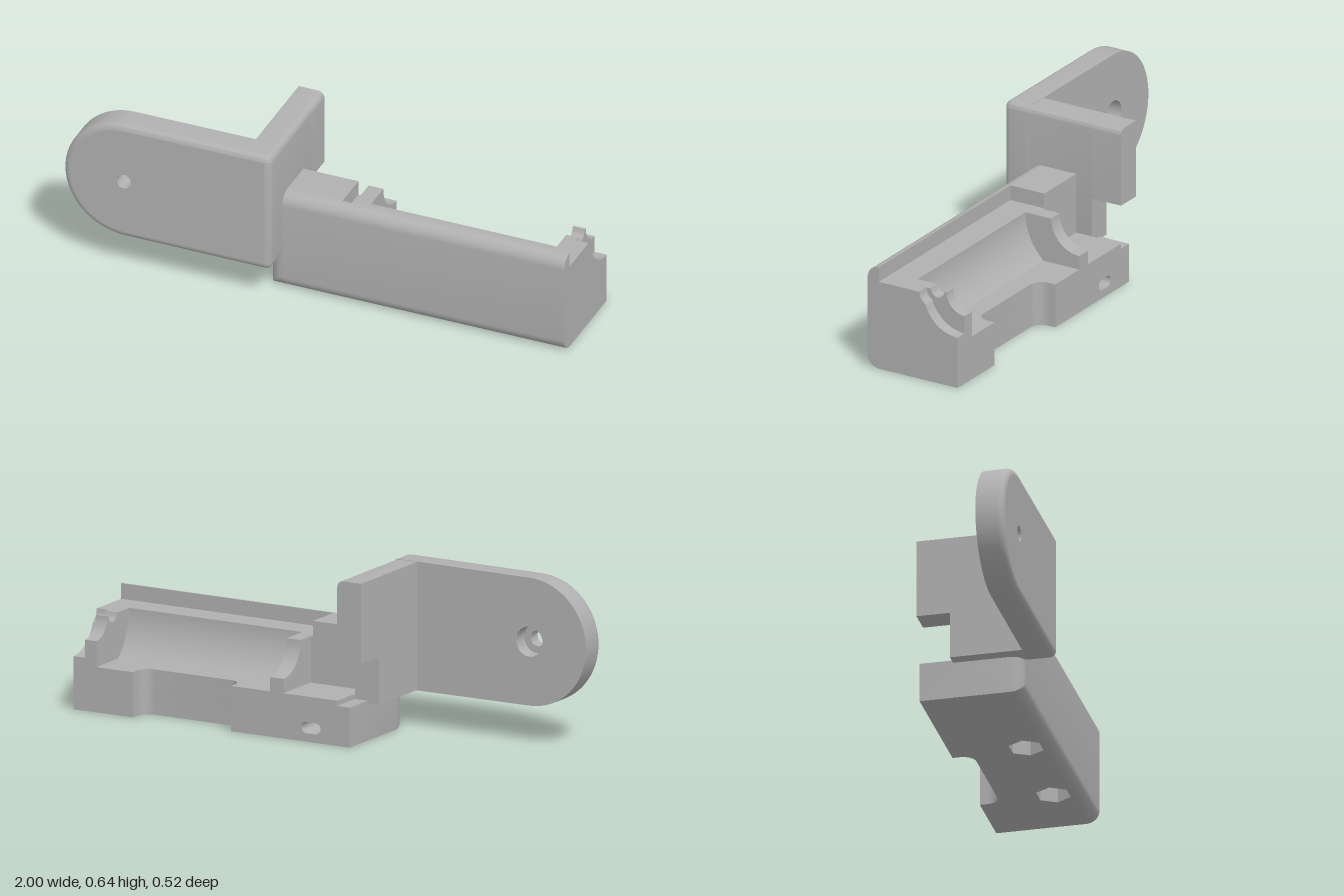
import * as THREE from 'three';
import { toCreasedNormals } from 'three/addons/utils/BufferGeometryUtils.js';

const FLOOR = 0.175; // pocket and trough floor
const TOP = 0.355;   // mating surface
const RIDGE = 0.415; // top of the front rail

export function createModel() {
  const model = new THREE.Group();
  const grey = new THREE.MeshStandardMaterial({ color: 0xb0b0b0 });
  grey.name = 'grey plastic';

  function add(name, geometry) {
    const mesh = new THREE.Mesh(toCreasedNormals(geometry, 0.6), grey);
    mesh.name = name;
    model.add(mesh);
    return mesh;
  }
  const toShape = pts => new THREE.Shape(pts.map(p => new THREE.Vector2(p[0], p[1])));
  const extrude = (shape, depth, steps = 1) =>
    new THREE.ExtrudeGeometry(shape, { depth, steps, bevelEnabled: false, curveSegments: 16 });

  // Section in (-z, y), swept along x
  const alongX = (pts, x0, x1, steps) =>
    extrude(toShape(pts), x1 - x0, steps).rotateY(Math.PI / 2).translate(x0, 0, 0);
  // Section in (x, y), swept along z
  const alongZ = (shape, z0, z1) => extrude(shape, z1 - z0).translate(0, 0, z0);
  // Plan in (x, -z), swept upwards
  const alongY = (shape, y0, y1) =>
    extrude(shape, y1 - y0).rotateX(-Math.PI / 2).translate(0, y0, 0);

  function arc(cx, cy, r, a0, a1, n = 14) {
    return Array.from({ length: n + 1 }, (_, i) => {
      const a = a0 + (a1 - a0) * i / n;
      return [cx + r * Math.cos(a), cy + r * Math.sin(a)];
    });
  }
  const PI = Math.PI;

  // ---- Mounting plate: rounded end, softened front edge ----
  const cx = -0.7525, cy = 0.3925, R = 0.2475, right = -0.155, fillet = 0.025;
  function outline(inset) {
    const r = R - inset, x = right - fillet, c = fillet - inset + 0.002;
    return [
      ...arc(cx, cy, r, PI / 2, PI * 1.5, 36),
      ...arc(x, cy - R + fillet, c, -PI / 2, 0, 6),
      ...arc(x, cy + R - fillet, c, 0, PI / 2, 6),
    ];
  }
  const rings = [[0.15, 0]];
  for (let i = 0; i <= 6; i++) {
    const a = i / 6 * PI / 2;
    rings.push([0.26 - fillet + fillet * Math.sin(a), fillet * (1 - Math.cos(a))]);
  }
  const pos = [], index = [];
  const count = outline(0).length;
  rings.forEach(([z, inset]) => outline(inset).forEach(p => pos.push(p[0], p[1], z)));
  for (let k = 0; k < rings.length - 1; k++) {
    for (let i = 0; i < count; i++) {
      const a = k * count + i, b = k * count + (i + 1) % count;
      index.push(a, b, b + count, a, b + count, a + count);
    }
  }
  const rim = new THREE.BufferGeometry();
  rim.setAttribute('position', new THREE.Float32BufferAttribute(pos, 3));
  rim.setIndex(index);
  add('plateRim', rim);

  function face(pts, holeRadius, z, back) {
    const shape = toShape(pts);
    shape.holes.push(new THREE.Path().absarc(cx, cy, holeRadius, 0, PI * 2, true));
    const g = new THREE.ShapeGeometry(shape, 24);
    if (back) { // turn to face -z, keeping x
      const ix = g.index.array;
      for (let i = 0; i < ix.length; i += 3) [ix[i], ix[i + 1]] = [ix[i + 1], ix[i]];
    }
    return g.translate(0, 0, z);
  }
  add('plateFront', face(outline(fillet), 0.03, 0.26, false));
  add('plateBack', face(outline(0), 0.058, 0.15, true));
  add('screwSeat', face(arc(cx, cy, 0.058, 0, PI * 2 * 31 / 32, 31), 0.03, 0.21, true));

  // Stepped screw hole walls, facing inwards
  function bore(name, r, z0, z1) {
    const g = new THREE.CylinderGeometry(r, r, z1 - z0, 32, 1, true);
    g.rotateX(PI / 2).translate(cx, cy, (z0 + z1) / 2);
    const ix = g.index.array;
    for (let i = 0; i < ix.length; i += 3) [ix[i], ix[i + 1]] = [ix[i + 1], ix[i]];
    add(name, g);
  }
  bore('screwHole', 0.03, 0.21, 0.26);
  bore('screwCounterbore', 0.058, 0.15, 0.21);

  // ---- Arm joining plate and holder ----
  const armShape = (y0, c) => toShape([
    [-0.26, y0], ...(c ? arc(right - c, y0 + c, c, -PI / 2, 0, 6) : [[right, y0]]),
    ...arc(right - fillet, 0.64 - fillet, fillet, 0, PI / 2, 6), [-0.26, 0.64],
  ]);
  add('arm', alongZ(armShape(0.145, fillet), -0.13, 0.152));
  add('armTip', alongZ(armShape(0.33, 0), -0.26, -0.13));

  // ---- Holder ----
  // Rounded front rail along the whole holder
  const frontEdge = [
    ...arc(-0.09, RIDGE - 0.05, 0.05, PI / 2, PI, 8),
    ...arc(-0.09, 0.05, 0.05, PI, PI * 1.5, 8),
  ];
  add('frontRail', alongX(frontEdge, -0.155, 1));

  // Outer end below the arm, with its front corner rounded
  const end = alongX([
    [0.26, 0], [0.26, 0.155], [0.13, 0.155], [0.13, 0.3], [-0.14, 0.3],
    ...arc(-0.09, 0.05, 0.05, PI, PI * 1.5, 8),
  ], -0.21, -0.155, 8);
  const p = end.attributes.position;
  for (let i = 0; i < p.count; i++) {
    const t = Math.min(0.05, Math.max(0, -0.16 - p.getX(i)));
    p.setZ(i, Math.min(p.getZ(i), 0.09 + Math.sqrt(Math.max(0, 0.0025 - t * t))));
  }
  add('holderEnd', end);

  // Pocket with a cable slot in its back wall
  const base = toShape([[-0.155, 0], [0.08, 0], [0.08, FLOOR], [-0.155, FLOOR]]);
  base.holes.push(new THREE.Path([
    ...arc(-0.02, 0.055, 0.022, -PI / 2, PI / 2, 8),
    ...arc(-0.06, 0.055, 0.022, PI / 2, PI * 1.5, 8),
  ].map(q => new THREE.Vector2(q[0], q[1]))));
  add('pocketBase', alongZ(base, -0.26, -0.12));
  const pocket = [[0.12, 0], [0.12, FLOOR], [0.06, FLOOR]];
  add('pocketBlock', alongX([...pocket, [0.06, RIDGE], [-0.09, RIDGE], [-0.09, 0]], -0.155, 0.07));
  add('pocketStep', alongX([...pocket, [0.06, TOP], [-0.09, TOP], [-0.09, 0]], 0.07, 0.08));

  // Closed sections behind the rail: bottom, given top path, mating surface
  const section = path => [[0.26, 0], ...path, [-0.09, TOP], [-0.09, 0]];
  add('innerWall', alongX(section(arc(0.26, TOP, 0.125, PI * 1.5, PI)), 0.08, 0.14));
  add('outerLip', alongX(section([
    ...arc(0.26, TOP, 0.08, PI * 1.5, PI), ...arc(0.14, TOP, 0.03, 0, -PI, 12),
  ]), 0.9, 0.95));
  add('outerWall', alongX(section([
    ...arc(0.26, TOP, 0.15, PI * 1.5, PI + 0.2998),
    ...arc(0.14, TOP, 0.05, -PI + 1.086, -PI, 8).slice(1),
  ]), 0.95, 1));

  // Trough floor with a rounded notch at the back
  const plan = () => toShape([
    [0.14, -0.09], [0.9, -0.09], [0.9, 0.26], [0.74, 0.26],
    ...arc(0.69, 0.23, 0.05, 0, -PI / 2, 8),
    ...arc(0.36, 0.23, 0.05, -PI / 2, -PI, 8),
    [0.31, 0.26], [0.14, 0.26],
  ]);
  const lower = plan();
  for (const x of [0.29, 0.72]) { // hexagonal nut recesses
    lower.holes.push(new THREE.Path(arc(x, -0.03, 0.068, 0, PI * 5 / 3, 5)
      .map(q => new THREE.Vector2(q[0], q[1]))));
  }
  add('troughBase', alongY(lower, 0, 0.1));
  add('troughFloor', alongY(plan(), 0.1, FLOOR));
  const sweep = Math.asin((TOP - FLOOR) / 0.24);
  add('troughWall', alongX([
    ...arc(0.26, TOP, 0.24, PI + sweep, PI), [-0.09, TOP], [-0.09, FLOOR],
  ], 0.14, 0.9));

  return model;
}
